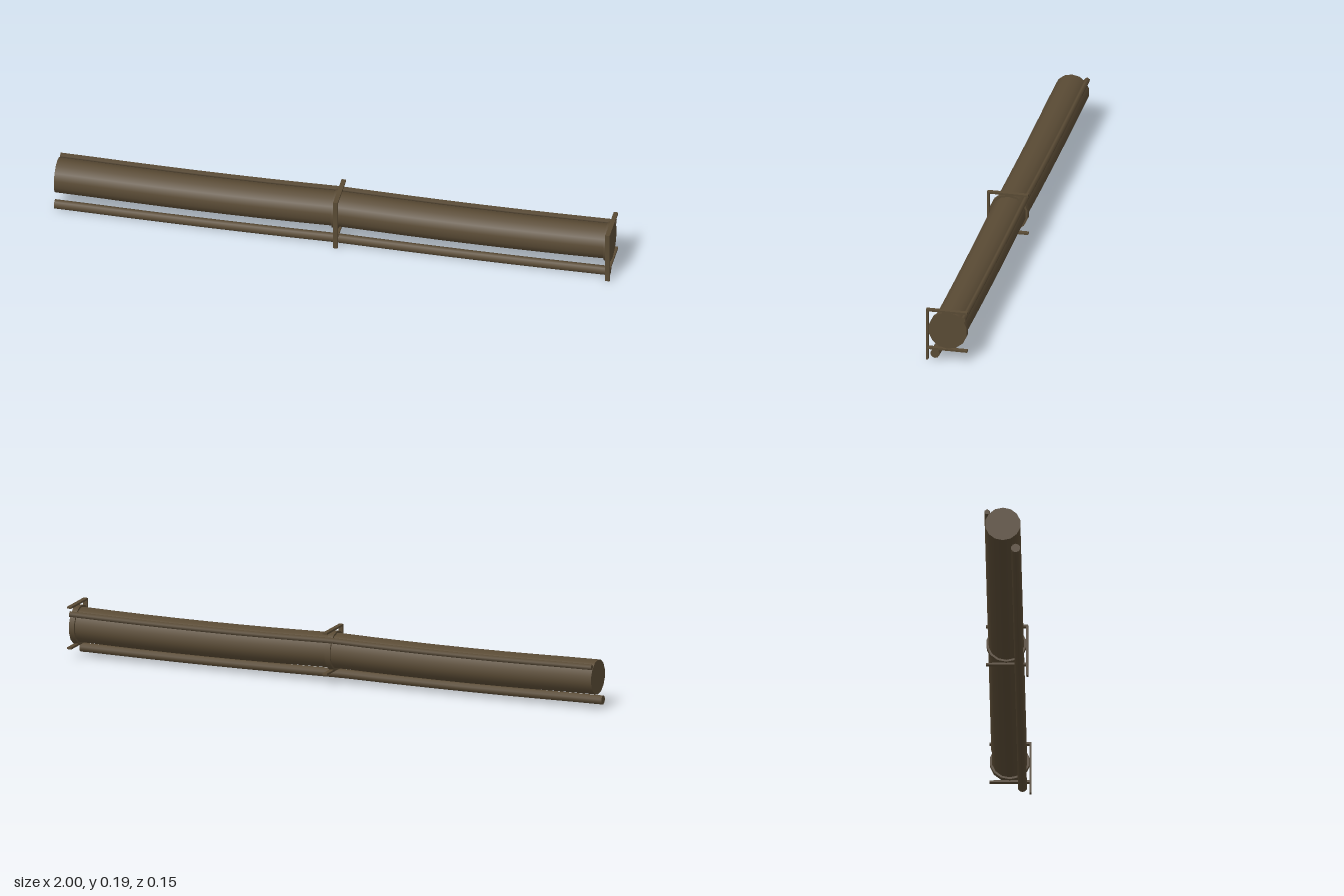
import * as THREE from 'three';

const JOINTS = [0.01, 0.987]; // bracket positions along the run
const SPAN = JOINTS[1] - JOINTS[0];

// drop of a line hanging between evenly spaced brackets
function sag(x) {
  const t = (((x - JOINTS[0]) / SPAN) % 1 + 1) % 1;
  return 4 * t * (1 - t);
}

export function createModel() {
  const model = new THREE.Group();
  const brown = new THREE.MeshStandardMaterial({ color: 0x594a34 });
  brown.name = 'weathered brown';

  function add(name, geometry, parent = model) {
    const mesh = new THREE.Mesh(geometry, brown);
    mesh.name = name;
    parent.add(mesh);
    return mesh;
  }

  // closed tube along x, hanging down by `drop` in the middle of each span
  function line(radius, sides, x0, x1, y, z, drop) {
    const rows = drop ? 16 : 1;
    const g = new THREE.CylinderGeometry(radius, radius, x1 - x0, sides, rows, false, Math.PI / 2);
    g.rotateZ(Math.PI / 2);
    g.translate((x0 + x1) / 2, y, z);
    const p = g.attributes.position;
    for (let i = 0; i < p.count; i++) p.setY(i, p.getY(i) - drop * sag(p.getX(i)));
    return g;
  }

  // hanging lines
  add('mainPipe', line(0.063, 14, -1, 0.985, 0.118, -0.002, 0.007));
  add('smallPipe', line(0.0165, 10, -1, 0.995, 0.024, 0.043, 0.004));
  add('cable', line(0.0105, 5, -1, 0.995, 0.165, -0.057, 0.006));

  // brackets with a pipe collar at each joint
  JOINTS.forEach((x) => {
    const bracket = new THREE.Group();
    bracket.name = 'bracket';
    model.add(bracket);
    const w = 0.016, t = 0.007;
    add('upright', new THREE.BoxGeometry(w, 0.195, t), bracket).position.set(x + 0.004, 0.0975, 0.0715);
    [0.1915, 0.0445].forEach((y) => {
      add('arm', new THREE.BoxGeometry(w, t, 0.141), bracket).position.set(x + 0.004, y, -0.0025);
    });
    add('collar', line(0.0705, 14, x - 0.014, x + 0.006, 0.1175, -0.002, 0), bracket);
  });

  return model;
}
